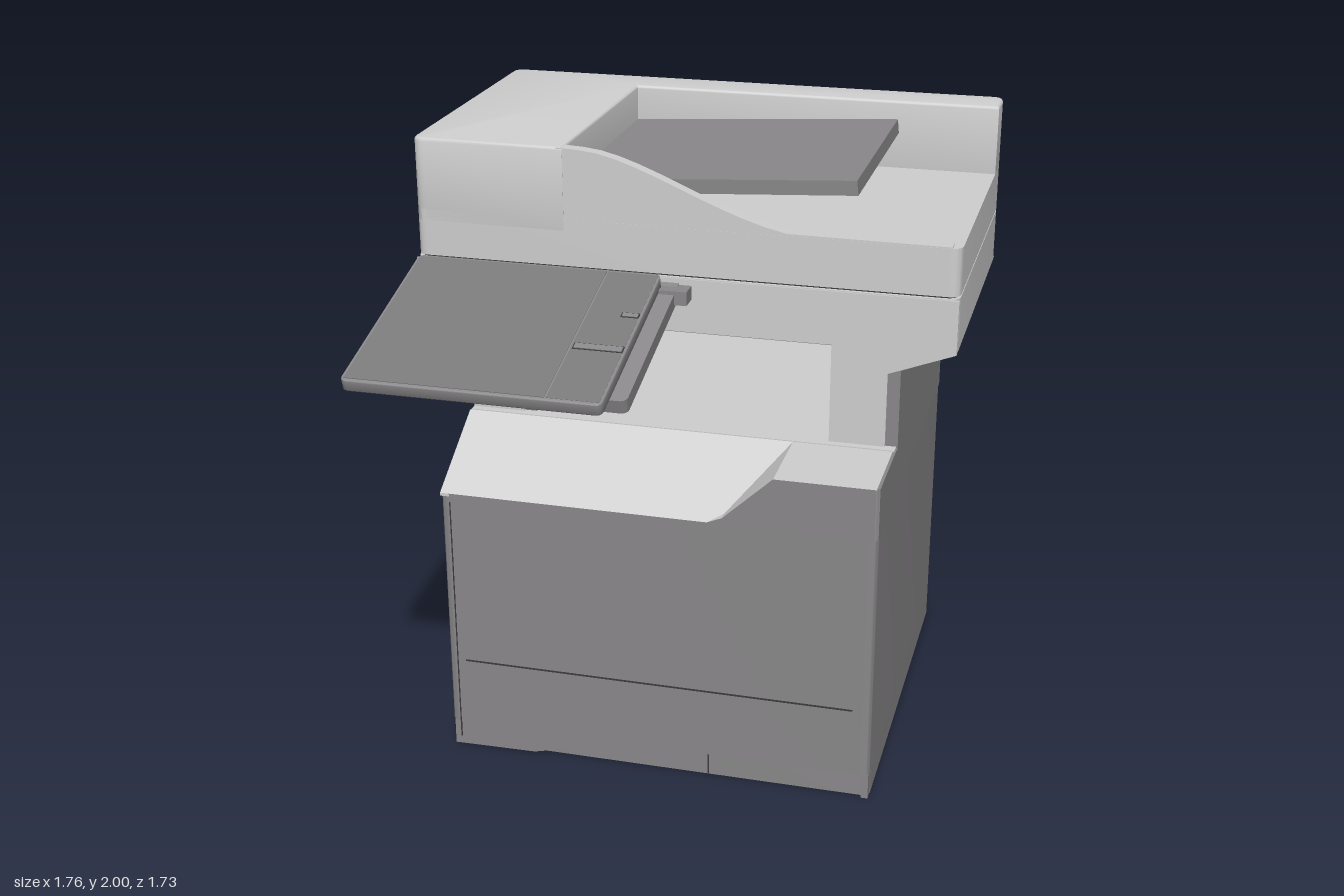
import * as THREE from 'three';
import { toCreasedNormals } from 'three/addons/utils/BufferGeometryUtils.js';

const material = (name, color) => Object.assign(new THREE.MeshStandardMaterial({ color }), { name });

export function createModel() {
  const model = new THREE.Group();
  model.name = 'officePrinter';
  const light = material('light grey plastic', 0xcfcfcf);
  const dark = material('dark grey plastic', 0x8a888a);
  const glass = material('display grey', 0x7b7b7c);
  const seam = material('seam charcoal', 0x3c3c3e);

  const add = (name, geometry, mat, parent = model) => {
    const mesh = new THREE.Mesh(geometry, mat);
    mesh.name = name;
    parent.add(mesh);
    return mesh;
  };
  const box = (name, x0, x1, y0, y1, z0, z1, mat, parent) => {
    const g = new THREE.BoxGeometry(x1 - x0, y1 - y0, z1 - z0);
    g.translate((x0 + x1) / 2, (y0 + y1) / 2, (z0 + z1) / 2);
    return add(name, g, mat, parent);
  };
  const polygon = (pts) => new THREE.Shape(pts.map(([x, y]) => new THREE.Vector2(x, y)));
  const extrude = (shape, depth, bevel = 0) => new THREE.ExtrudeGeometry(shape, {
    depth: depth - 2 * bevel, curveSegments: 10, bevelEnabled: bevel > 0,
    bevelSize: bevel, bevelThickness: bevel, bevelOffset: -bevel, bevelSegments: 3,
  }).translate(0, 0, bevel);
  // front outline pushed along z
  const prism = (name, shape, z0, z1, mat) =>
    add(name, extrude(shape, z1 - z0).translate(0, 0, z0), mat);
  // plan outline (x, -z) raised along y
  const raise = (name, shape, y0, y1, mat, bevel = 0, parent = model) => {
    const g = extrude(shape, y1 - y0, bevel).rotateX(-Math.PI / 2).translate(0, y0, 0);
    return add(name, toCreasedNormals(g, 0.6), mat, parent);
  };
  // rounded polygon: each corner is replaced by a curve of radius r
  const rounded = (pts) => {
    const shape = new THREE.Shape();
    pts.forEach(([x, y, r = 0], i) => {
      const p = new THREE.Vector2(x, y);
      const toward = (q) => p.clone().add(new THREE.Vector2(q[0] - x, q[1] - y).setLength(r));
      const a = toward(pts[(i + pts.length - 1) % pts.length]);
      const b = toward(pts[(i + 1) % pts.length]);
      if (i) shape.lineTo(a.x, a.y); else shape.moveTo(a.x, a.y);
      if (r) shape.quadraticCurveTo(x, y, b.x, b.y);
    });
    return shape;
  };
  const plan = (x0, x1, z0, z1, r) =>
    rounded([[x0, -z1, r], [x1, -z1, r], [x1, -z0, r], [x0, -z0, r]]);

  // Lower cabinet, with a set-back plinth and a shaped foot
  raise('cabinet', plan(-0.71, 0.71, -0.845, 0.5, 0.03), 0.09, 0.93, dark);
  raise('plinth', plan(-0.71, 0.71, -0.845, 0.475, 0.03), 0, 0.09, dark);
  prism('drawerFoot', polygon([[-0.7, 0], [-0.42, 0.005], [-0.36, 0.02], [-0.26, 0.08], [-0.2, 0.09], [-0.7, 0.09]]),
    0.44, 0.498, dark);
  box('cornerFoot', 0.685, 0.708, 0, 0.09, 0.44, 0.49, dark);
  box('plinthSeam', 0.172, 0.177, 0, 0.09, 0.47, 0.477, seam);
  box('drawerSeam', -0.65, 0.65, 0.322, 0.328, 0.495, 0.501, seam);
  box('doorSeam', -0.68, -0.676, 0.03, 0.9, 0.495, 0.501, seam);
  box('cabinetTop', -0.71, 0.71, 0.93, 1.097, -0.845, 0.2, dark);
  box('outputFloor', -0.705, 0.705, 1.096, 1.103, -0.84, 0.2, light);

  // Sloping paper chute and the raised deck beside it
  const chute = extrude(polygon([[-0.2, 0.92], [-0.2, 1.1], [-0.5, 0.93], [-0.5, 0.92]]), 1.09);
  add('chute', chute.rotateY(Math.PI / 2).translate(-0.71, 0, 0), [dark, light]);
  prism('deck', polygon([[0.16, 0.925], [0.22, 0.95], [0.38, 1.1], [0.7, 1.1], [0.7, 0.925]]),
    0.19, 0.5, [dark, light]);
  box('deckSide', 0.7, 0.71, 0.925, 1.1, 0.19, 0.49, dark);

  // Columns flaring out to carry the scanner
  for (const s of [1, -1]) {
    const flip = (pts) => polygon(pts.map(([x, y]) => [s * x, y]));
    prism('column', flip([[0.49, 1.09], [0.71, 1.09], [0.71, 1.36], [0.88, 1.431], [0.49, 1.431]]),
      -0.845, 0.165, dark);
  }
  prism('frontBezel', polygon([[-0.88, 1.605], [-0.88, 1.42], [-0.7, 1.35], [-0.7, 1.1], [-0.53, 1.1],
    [-0.53, 1.43], [0.49, 1.43], [0.49, 1.1], [0.67, 1.1], [0.67, 1.35], [0.88, 1.43], [0.88, 1.605]]),
  0.165, 0.174, light);
  box('outputCeiling', -0.5, 0.5, 1.425, 1.432, -0.845, 0.165, dark);

  // Back cover with the through window
  const back = polygon([[-0.69, 0.01], [0.69, 0.01], [0.69, 1.36], [0.84, 1.43], [0.84, 1.61],
    [-0.84, 1.61], [-0.84, 1.43], [-0.69, 1.36]]);
  back.holes.push(polygon([[-0.49, 1.1], [-0.49, 1.43], [0.49, 1.43], [0.49, 1.1]]));
  prism('backCover', back, 0, 0.016, dark).position.z = -0.862;
  model.children.at(-1).rotation.x = 0.007;

  // Scanner base, seam and lid
  raise('scannerBase', plan(-0.88, 0.88, -0.85, 0.17, 0.04), 1.43, 1.608, light);
  raise('lidSeam', plan(-0.872, 0.872, -0.842, 0.158, 0.04), 1.6, 1.62, seam);
  raise('lid', plan(-0.88, 0.88, -0.85, 0.165, 0.04), 1.614, 1.768, light);
  raise('feederHousing', rounded([[-0.88, -0.165, 0.04], [-0.38, -0.165], [-0.38, 0.7], [0.88, 0.7],
    [0.88, 0.85, 0.04], [-0.88, 0.85, 0.04]]), 1.72, 2, light, 0.01);
  const wall = new THREE.Shape();
  wall.moveTo(-0.4, 1.74);
  wall.lineTo(-0.4, 1.998);
  wall.lineTo(-0.32, 1.994);
  wall.bezierCurveTo(-0.14, 1.985, 0.1, 1.82, 0.34, 1.775);
  wall.lineTo(0.85, 1.772);
  wall.lineTo(0.85, 1.74);
  prism('curvedFrontWall', wall, 0.12, 0.164, light);

  // Sloping document tray
  prism('documentTray', polygon([[-0.39, 1.835], [0.545, 1.89], [0.54, 1.937], [-0.39, 1.88]]),
    -0.7, 0.09, dark);

  // Tilted control panel
  const panel = new THREE.Group();
  panel.name = 'controlPanel';
  panel.position.set(0, 1.625, 0.2);
  panel.rotation.x = 0.266;
  model.add(panel);
  raise('panelTop', plan(-0.86, -0.05, 0, 0.69, 0.025), -0.04, 0, dark, 0.004, panel);
  raise('panelBase', plan(-0.88, 0, -0.03, 0.61, 0.025), -0.085, -0.04, dark, 0, panel);
  box('display', -0.85, -0.225, -0.002, 0.002, 0.012, 0.678, glass, panel);
  box('keyStrip', -0.22, -0.058, -0.002, 0.001, 0.012, 0.678, glass, panel);
  const key = (name, x0, x1, z0, z1) => {
    box(name + 'Outline', x0, x1, -0.002, 0.002, z0, z1, seam, panel);
    box(name, x0 + 0.004, x1 - 0.004, -0.002, 0.004, z0 + 0.004, z1 - 0.004, dark, panel);
  };
  key('wideKey', -0.215, -0.058, 0.4, 0.432);
  key('smallKey', -0.115, -0.058, 0.225, 0.25);
  box('panelHinge', -0.1, 0.04, 1.54, 1.585, 0.15, 0.24, dark);

  return model;
}
